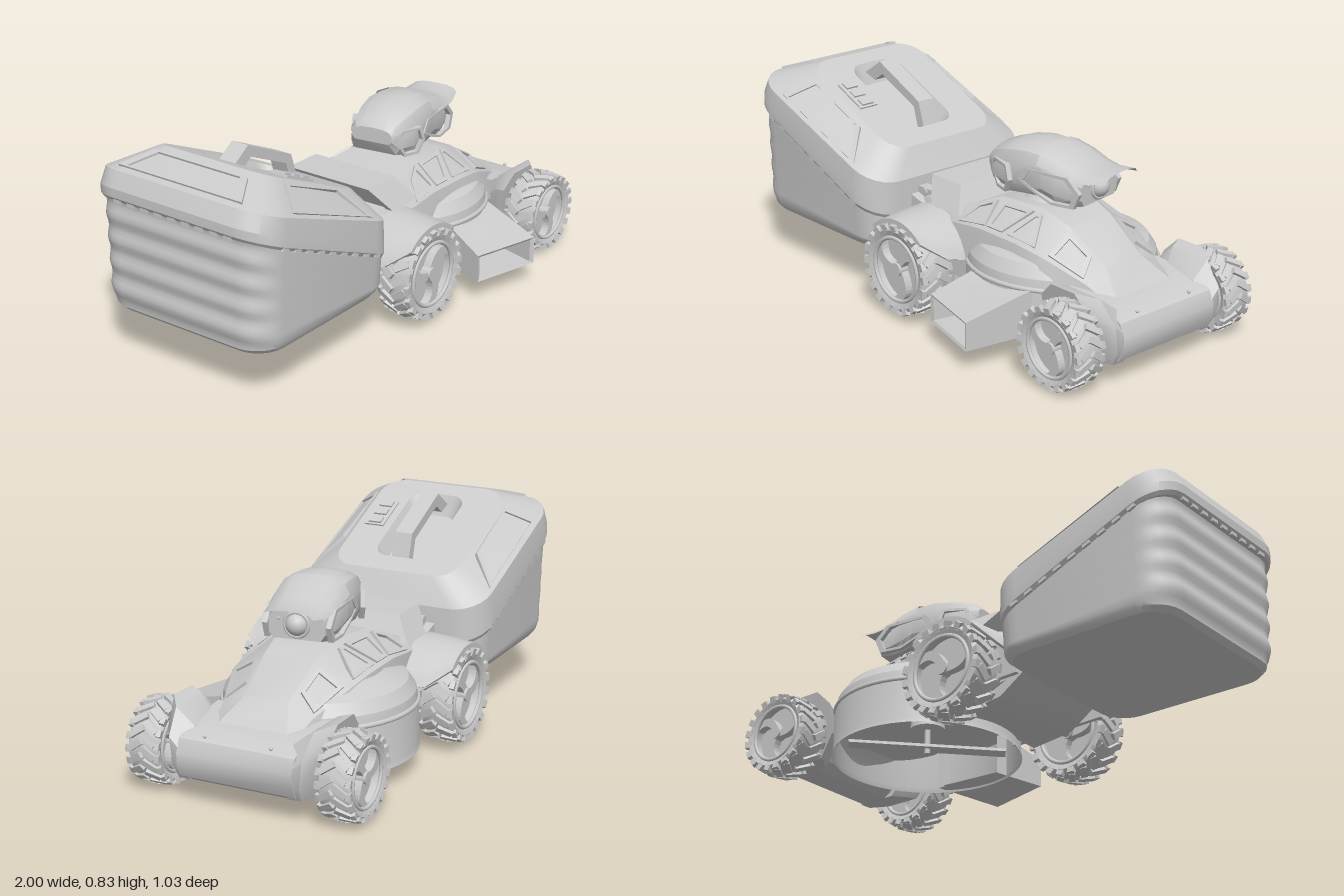
import * as THREE from 'three';
import { mergeGeometries, toCreasedNormals } from 'three/addons/utils/BufferGeometryUtils.js';

const V = (x, y, z) => new THREE.Vector3(x, y, z);
const lerp = THREE.MathUtils.lerp;
const grey = new THREE.MeshStandardMaterial({ color: 0xcccccc });
const greyThin = new THREE.MeshStandardMaterial({ color: 0xcccccc, side: THREE.DoubleSide });

function add(parent, name, geo, mat = grey, pos = [0, 0, 0], rot = [0, 0, 0]) {
  const m = new THREE.Mesh(geo, mat);
  m.name = name;
  m.position.set(...pos);
  m.rotation.set(...rot);
  parent.add(m);
}

// Skin over equal-length rings of points; solids are turned to face outward
function loft(rings, { caps = true, closed = true, crease = 0.5 } = {}) {
  const n = rings[0].length, pts = rings.flat(), idx = [];
  for (let i = 0; i < rings.length - 1; i++)
    for (let j = 0; j < (closed ? n : n - 1); j++) {
      const a = i * n + j, b = i * n + (j + 1) % n;
      idx.push(a, b, b + n, a, b + n, a + n);
    }
  if (caps) [0, rings.length - 1].forEach((r, end) => {
    const c = rings[r].reduce((s, p) => s.add(p), V(0, 0, 0)).divideScalar(n);
    const k = pts.push(c) - 1;
    for (let j = 0; j < n; j++) {
      const a = r * n + j, b = r * n + (j + 1) % n;
      idx.push(...(end ? [a, b, k] : [b, a, k]));
    }
  });
  let vol = 0;
  for (let i = 0; i < idx.length; i += 3)
    vol += pts[idx[i]].dot(V(0, 0, 0).crossVectors(pts[idx[i + 1]], pts[idx[i + 2]]));
  if (vol < 0) idx.reverse();
  const g = new THREE.BufferGeometry().setFromPoints(pts);
  g.setIndex(idx);
  return toCreasedNormals(g, crease);
}

// Side profile in x, y extruded across z
function slab(points, z0, z1) {
  const g = new THREE.ExtrudeGeometry(new THREE.Shape(points.map(p => new THREE.Vector2(...p))), { depth: z1 - z0, bevelEnabled: false });
  return toCreasedNormals(g.translate(0, 0, z0), 0.5);
}

// Raised window frame around a polygon lying in any plane
function frame(points, depth = 0.02, hole = 0.75) {
  const c = points.reduce((s, p) => s.add(p), V(0, 0, 0)).divideScalar(points.length);
  const u = points[1].clone().sub(points[0]).normalize();
  const n = u.clone().cross(points[points.length - 1].clone().sub(points[0])).normalize();
  const v = n.clone().cross(u);
  const flat = points.map(p => { const d = p.clone().sub(c); return new THREE.Vector2(d.dot(u), d.dot(v)); });
  const shape = new THREE.Shape(flat);
  shape.holes.push(new THREE.Path(flat.map(p => p.clone().multiplyScalar(hole))));
  const g = new THREE.ExtrudeGeometry(shape, { depth, bevelEnabled: false }).translate(0, 0, -depth / 2);
  return g.applyMatrix4(new THREE.Matrix4().makeBasis(u, v, n).setPosition(c));
}

// Rounded rectangle seen from above, sloping from height yA at x0 to yB at x1
function roundRing(x0, x1, hw, r, yA, yB) {
  const out = [];
  [[x1 - r, hw - r], [x0 + r, hw - r], [x0 + r, r - hw], [x1 - r, r - hw]].forEach(([cx, cz], q) => {
    for (let i = 0; i <= 6; i++) {
      const a = (q + i / 6) * Math.PI / 2, x = cx + r * Math.cos(a);
      out.push(V(x, lerp(yA, yB, (x - x0) / (x1 - x0)), cz + r * Math.sin(a)));
    }
  });
  return out;
}

function makeWheel(R, w) {
  const wheel = new THREE.Group();
  const prof = [[0.7, -0.42], [0.83, -0.49], [0.9, -0.42], [0.93, -0.2], [0.93, 0.2], [0.9, 0.42], [0.83, 0.49], [0.7, 0.42], [0.7, -0.42]];
  const tyre = new THREE.LatheGeometry(prof.map(([r, z]) => new THREE.Vector2(r * R, z * w)), 40).rotateX(Math.PI / 2);
  add(wheel, 'tyre', toCreasedNormals(tyre, 0.6));
  const lugs = [];
  for (let i = 0; i < 20; i++) for (const s of [-1, 1]) {
    const a = (i + (s > 0 ? 0.5 : 0)) * Math.PI / 10;
    lugs.push(new THREE.BoxGeometry(R * 0.14, R * 0.12, w * 0.45).rotateY(s * 0.6).rotateX(s * 0.12).translate(0, R * 0.93, s * w * 0.2).rotateZ(a));
    lugs.push(new THREE.BoxGeometry(R * 0.16, R * 0.17, w * 0.14).rotateX(s * 0.25).translate(R * 0.11, R * 0.87, s * w * 0.43).rotateZ(a));
  }
  add(wheel, 'treadLugs', mergeGeometries(lugs));
  add(wheel, 'rimDisc', new THREE.CylinderGeometry(R * 0.71, R * 0.71, w * 0.3, 40).rotateX(Math.PI / 2));
  add(wheel, 'hub', new THREE.CylinderGeometry(R * 0.14, R * 0.14, w * 0.9, 20).rotateX(Math.PI / 2));
  for (const s of [-1, 1]) add(wheel, 'rimLip', new THREE.TorusGeometry(R * 0.67, R * 0.045, 8, 40), grey, [0, 0, s * w * 0.42]);
  const arm = new THREE.Shape();
  arm.moveTo(R * 0.08, 0);
  arm.quadraticCurveTo(R * 0.3, R * 0.42, R * 0.64, R * 0.2);
  arm.lineTo(R * 0.52, R * 0.42);
  arm.quadraticCurveTo(R * 0.2, R * 0.6, -R * 0.06, R * 0.1);
  const armGeo = new THREE.ExtrudeGeometry(arm, { depth: w * 0.76, bevelEnabled: false, curveSegments: 8 }).translate(0, 0, -w * 0.38);
  for (let i = 0; i < 3; i++) add(wheel, 'swirlSpoke', armGeo, grey, [0, 0, 0], [0, 0, i * Math.PI * 2 / 3]);
  return wheel;
}

function makeBag() {
  const bag = new THREE.Group();
  bag.name = 'grassBag';
  // Fabric, pleated toward the back
  const rings = [roundRing(-0.945, -0.24, 0.37, 0.11, 0.2, 0.2)];
  for (let i = 0; i <= 24; i++) {
    const k = i / 24, e = 0.012 * Math.min(1, i / 2);
    const ring = roundRing(-0.965 - e, -0.215 + e / 4, lerp(0.385, 0.398, k) + e / 2, 0.12, lerp(0.22, 0.68, k), lerp(0.22, 0.35, k));
    for (const p of ring) p.x += 0.006 * THREE.MathUtils.clamp((-0.84 - p.x) / 0.12, 0, 1) * Math.sin(k * 30);
    rings.push(ring);
  }
  add(bag, 'fabric', loft(rings, { crease: 0.5 }));
  // Hard lid with a sunken handle well
  add(bag, 'lid', loft([
    roundRing(-0.99, -0.21, 0.405, 0.13, 0.655, 0.325), roundRing(-1, -0.2, 0.415, 0.14, 0.67, 0.34),
    roundRing(-1, -0.2, 0.415, 0.14, 0.705, 0.385), roundRing(-0.97, -0.2, 0.407, 0.13, 0.765, 0.475),
    roundRing(-0.79, -0.25, 0.27, 0.09, 0.822, 0.585), roundRing(-0.72, -0.33, 0.12, 0.06, 0.795, 0.62),
    roundRing(-0.69, -0.36, 0.09, 0.05, 0.71, 0.565)], { crease: 0.35 }));
  add(bag, 'handle', slab([[-0.71, 0.76], [-0.615, 0.825], [-0.37, 0.712], [-0.335, 0.6], [-0.375, 0.6],
    [-0.4, 0.685], [-0.6, 0.775], [-0.65, 0.74]], -0.038, 0.038));
  // Trapezoid windows lying on the lid's bevel
  const bevel = (x, t, s) => V(x, lerp(0.765 - 0.377 * (x + 0.97), 0.822 - 0.439 * (x + 0.79), t), s * lerp(0.407, 0.27, t));
  for (const s of [-1, 1])
    add(bag, 'sideWindow', frame([bevel(-0.8, 0.1, s), bevel(-0.34, 0.1, s), bevel(-0.42, 0.84, s), bevel(-0.72, 0.84, s)], 0.016, 0.87));
  add(bag, 'backWindow', frame([V(-0.945, 0.773, 0.29), V(-0.945, 0.773, -0.29), V(-0.83, 0.81, -0.22), V(-0.83, 0.81, 0.22)], 0.016, 0.87));
  // Lid latch
  const tilt = [0, 0, -0.42];
  add(bag, 'latchPlate', new THREE.BoxGeometry(0.16, 0.015, 0.085), grey, [-0.565, 0.724, 0.195], tilt);
  for (let i = 0; i < 3; i++) add(bag, 'latchKey', new THREE.BoxGeometry(0.035, 0.02, 0.055), grey, [-0.615 + i * 0.05, 0.752 - i * 0.0225, 0.195], tilt);
  // Clips along the seam
  for (let i = 0; i < 9; i++) {
    const x = -0.86 + i * 0.066;
    for (const s of [-1, 1]) add(bag, 'seamClip', new THREE.BoxGeometry(0.035, 0.014, 0.01), grey, [x, 0.25 - 0.41 * x, s * 0.408], [0, 0, -0.39]);
    add(bag, 'backClip', new THREE.BoxGeometry(0.01, 0.014, 0.035), grey, [-0.99, 0.655, (i - 4) * 0.065]);
  }
  return bag;
}

// Hood stations: x, then height and half width of bottom, shoulder and top
const hood = [
  [-0.2, 0.22, 0.2, 0.33, 0.22, 0.4, 0.17], [-0.05, 0.16, 0.26, 0.35, 0.26, 0.43, 0.22],
  [0.1, 0.2, 0.27, 0.39, 0.265, 0.44, 0.225], [0.25, 0.27, 0.28, 0.405, 0.262, 0.505, 0.14],
  [0.45, 0.27, 0.28, 0.4, 0.258, 0.508, 0.12], [0.58, 0.26, 0.28, 0.38, 0.245, 0.465, 0.105],
  [0.75, 0.2, 0.22, 0.31, 0.185, 0.36, 0.09], [0.86, 0.16, 0.18, 0.26, 0.17, 0.28, 0.14]];
function hoodPoint(x, t, s) {
  const i = Math.max(0, hood.findIndex(h => h[0] >= x) - 1);
  const [a, b] = [hood[i], hood[i + 1]], k = (x - a[0]) / (b[0] - a[0]);
  const at = j => lerp(a[j], b[j], k);
  return V(x, lerp(at(3), at(5), t), s * lerp(at(4), at(6), t));
}

// Points along an arc around the rear wheel
function arc(r, a0, a1, z) {
  return Array.from({ length: 15 }, (_, i) => {
    const a = lerp(a0, a1, i / 14);
    return V(-0.02 + r * Math.cos(a), 0.2 + r * Math.sin(a), z);
  });
}

function makeBody() {
  const body = new THREE.Group();
  body.name = 'mowerBody';
  add(body, 'hood', loft(hood.map(([x, y0, w0, y1, w1, y2, w2]) =>
    [V(x, y0, -w0), V(x, y1, -w1), V(x, y2, -w2), V(x, y2, w2), V(x, y1, w1), V(x, y0, w0)]), { crease: 0.45 }));
  for (const s of [-1, 1])
    for (const [x0, x1, x2, x3] of [[0.13, 0.27, 0.25, 0.18], [0.28, 0.36, 0.43, 0.28], [0.39, 0.53, 0.47, 0.45], [0.59, 0.73, 0.7, 0.59]])
      add(body, 'hoodWindow', frame([hoodPoint(x0, 0.12, s), hoodPoint(x1, 0.12, s), hoodPoint(x2, 0.85, s), hoodPoint(x3, 0.85, s)], 0.018, 0.74));
  // Cutting deck, open below, with its blade
  const deck = [[0.375, 0.08], [0.37, 0.1], [0.37, 0.25], [0.36, 0.305], [0.33, 0.35], [0.24, 0.39]];
  add(body, 'cuttingDeck', toCreasedNormals(new THREE.LatheGeometry(deck.map(p => new THREE.Vector2(...p)), 56), 0.4), greyThin, [0.4, 0, -0.03]);
  add(body, 'deckRib', new THREE.TorusGeometry(0.366, 0.01, 8, 56).rotateX(Math.PI / 2), grey, [0.4, 0.265, -0.03]);
  add(body, 'bladeHub', new THREE.CylinderGeometry(0.06, 0.07, 0.08, 24), grey, [0.4, 0.24, -0.03]);
  add(body, 'bladeShaft', new THREE.CylinderGeometry(0.012, 0.012, 0.12, 12), grey, [0.4, 0.16, -0.03]);
  add(body, 'blade', new THREE.BoxGeometry(0.62, 0.012, 0.055), grey, [0.4, 0.125, -0.03], [0.08, 0.7, 0]);
  // Side discharge chute
  const q = (a, b, y0, y1) => [V(a[0], y0, a[1]), V(b[0], y0, b[1]), V(b[0], y1, b[1]), V(a[0], y1, a[1])];
  add(body, 'dischargeChute', loft([q([0.29, 0.28], [0.585, 0.26], 0.09, 0.275), q([0.232, 0.487], [0.52, 0.565], 0.082, 0.195),
    q([0.247, 0.485], [0.505, 0.555], 0.092, 0.185), q([0.305, 0.29], [0.57, 0.27], 0.1, 0.262)], { caps: false }), greyThin);
  // Rear flap, hinge and chassis plate
  add(body, 'rearFlap', loft([[0.515, -0.1, 0.07, 0.195], [0.42, -0.03, 0.13, 0.26]].map(([y, a, b, w]) =>
    [V(a, y, -w), V(b, y, -w), V(b, y, w), V(a, y, w)])));
  add(body, 'hingeRod', new THREE.CylinderGeometry(0.016, 0.016, 0.38, 16).rotateX(Math.PI / 2), grey, [-0.16, 0.42, 0]);
  for (let i = -2; i <= 2; i++) add(body, 'hingeKnuckle', new THREE.BoxGeometry(0.08, 0.05, 0.045), grey, [-0.165, 0.41, i * 0.08]);
  add(body, 'rearPlate', slab([[-0.24, 0.22], [-0.12, 0.14], [0.06, 0.12], [0.06, 0.26], [-0.1, 0.38], [-0.24, 0.42]], -0.22, 0.22));
  // Front bumper, rounded underneath
  add(body, 'bumper', slab([[0.76, 0.17], [0.785, 0.115], [0.83, 0.085], [0.94, 0.08], [0.972, 0.1], [0.992, 0.145], [0.994, 0.195],
    [0.972, 0.245], [0.925, 0.272], [0.8, 0.29], [0.7, 0.3], [0.7, 0.24]], -0.235, 0.235));
  // Cheek section, leaning inward toward the ground
  const cheek = (s, z, lean, top, x0, x1) => [[x0, 0.17], [x0 + 0.07, 0.085], [x1 - 0.03, 0.085], [x1, 0.14], [x1, top - 0.09],
    [x1 - 0.07, top], [x0 + 0.06, top], [x0, top - 0.06]].map(([x, y]) => V(x, y, s * (z - lean * (top - y) / (top - 0.085))));
  for (const s of [-1, 1]) {
    add(body, 'frontCheek', loft([cheek(s, 0.2, 0, 0.275, 0.72, 0.99), cheek(s, 0.28, 0.03, 0.335, 0.68, 0.985),
      cheek(s, 0.335, 0.05, 0.348, 0.66, 0.91)], { crease: 0.6 }));
    add(body, 'axleCollar', new THREE.CylinderGeometry(0.035, 0.035, 0.04, 16).rotateX(Math.PI / 2), grey, [0.83, 0.165, s * 0.305]);
    add(body, 'bumperBolt', new THREE.SphereGeometry(0.007, 12, 8), grey, [0.96, 0.262, s * 0.135]);
    // Rear mudguard, its span shrinking outward, and the wheel-well wall
    add(body, 'rearFender', loft([[0.25, 0.222, 0.25, 2.9], [0.36, 0.215, 0.4, 2.75], [0.445, 0.206, 0.8, 2.35]].map(([z, r, a, b]) =>
      [...arc(r, a, b, s * z), ...arc(r - 0.01, a, b, s * z).reverse()]), { crease: 0.6 }));
    add(body, 'fenderWall', slab(arc(0.218, -0.1, 3.2, 0).map(p => [p.x, p.y]), s * 0.265 - 0.01, s * 0.265 + 0.01));
    // Wheels
    for (const [name, x, y, R, w] of [['rearWheel', -0.022, 0.203, 0.19, 0.14], ['frontWheel', 0.83, 0.165, 0.165, 0.135]]) {
      const wheel = makeWheel(R, w);
      wheel.name = name;
      wheel.position.set(x, y, s * 0.387);
      body.add(wheel);
    }
  }
  for (const [x, y] of [[-0.022, 0.203], [0.83, 0.165]])
    add(body, 'axle', new THREE.CylinderGeometry(0.022, 0.022, 0.74, 16).rotateX(Math.PI / 2), grey, [x, y, 0]);
  return body;
}

function makeHead() {
  const head = new THREE.Group();
  head.name = 'sensorHead';
  const half = [[0.85, 0], [1, 0.2], [1, 0.62], [0.84, 0.85], [0.5, 0.97]];
  const full = [...half, [0, 1], ...half.map(([a, b]) => [-a, b]).reverse()];
  const section = ([x, y0, y1, w], pts) => pts.map(([a, b]) => V(x, lerp(y0, y1, b), a * w));
  const shell = [[0.135, 0.6, 0.66, 0.088], [0.165, 0.55, 0.692, 0.108], [0.25, 0.53, 0.722, 0.13], [0.33, 0.54, 0.735, 0.137],
    [0.42, 0.545, 0.73, 0.136], [0.47, 0.53, 0.713, 0.13], [0.54, 0.528, 0.68, 0.117], [0.59, 0.54, 0.663, 0.108]];
  add(head, 'headShell', loft(shell.map(s => section(s, full)), { crease: 0.5 }));
  // Visor with a forward brim
  const visor = [[0.4, 0.56, 0.736, 0.139], [0.48, 0.56, 0.715, 0.135], [0.55, 0.57, 0.683, 0.128], [0.61, 0.585, 0.668, 0.12], [0.69, 0.61, 0.675, 0.1]];
  add(head, 'visor', loft(visor.map(s => section(s, full.slice(2, 9))), { caps: false, closed: false, crease: 0.8 }), greyThin);
  for (const s of [-1, 1]) {
    add(head, 'rearWindow', frame([[0.145, 0.615, 0.098], [0.18, 0.65, 0.116], [0.275, 0.648, 0.136], [0.295, 0.59, 0.138], [0.265, 0.537, 0.133], [0.195, 0.537, 0.118]]
      .map(([x, y, z]) => V(x, y, s * z)), 0.02, 0.8));
    add(head, 'sideWindow', frame([[0.31, 0.6, 0.141], [0.35, 0.65, 0.14], [0.54, 0.65, 0.12], [0.595, 0.595, 0.11], [0.57, 0.535, 0.113], [0.47, 0.53, 0.128], [0.39, 0.56, 0.138]]
      .map(([x, y, z]) => V(x, y, s * z)), 0.02, 0.82));
  }
  // Camera eye and indicator
  add(head, 'lens', new THREE.SphereGeometry(0.043, 24, 16), grey, [0.585, 0.597, 0]);
  add(head, 'lensRing', new THREE.TorusGeometry(0.046, 0.007, 8, 28), grey, [0.592, 0.597, 0], [0, Math.PI / 2, 0]);
  add(head, 'indicator', new THREE.SphereGeometry(0.006, 10, 8), grey, [0.59, 0.615, 0.07]);
  // Swivel neck
  add(head, 'neck', new THREE.CylinderGeometry(0.055, 0.055, 0.08, 28), grey, [0.36, 0.54, 0]);
  add(head, 'neckCollar', new THREE.CylinderGeometry(0.075, 0.1, 0.025, 28), grey, [0.36, 0.513, 0]);
  add(head, 'neckPlate', new THREE.CylinderGeometry(0.075, 0.06, 0.015, 28), grey, [0.36, 0.545, 0]);
  // Turned a little about the neck
  const yaw = 0.15;
  head.rotation.y = yaw;
  head.position.set(0.36 * (1 - Math.cos(yaw)), 0, 0.36 * Math.sin(yaw));
  return head;
}

export function createModel() {
  const model = new THREE.Group();
  model.name = 'roboticMower';
  model.add(makeBag(), makeBody(), makeHead());
  for (const part of model.children) part.position.z -= 0.055;
  return model;
}
